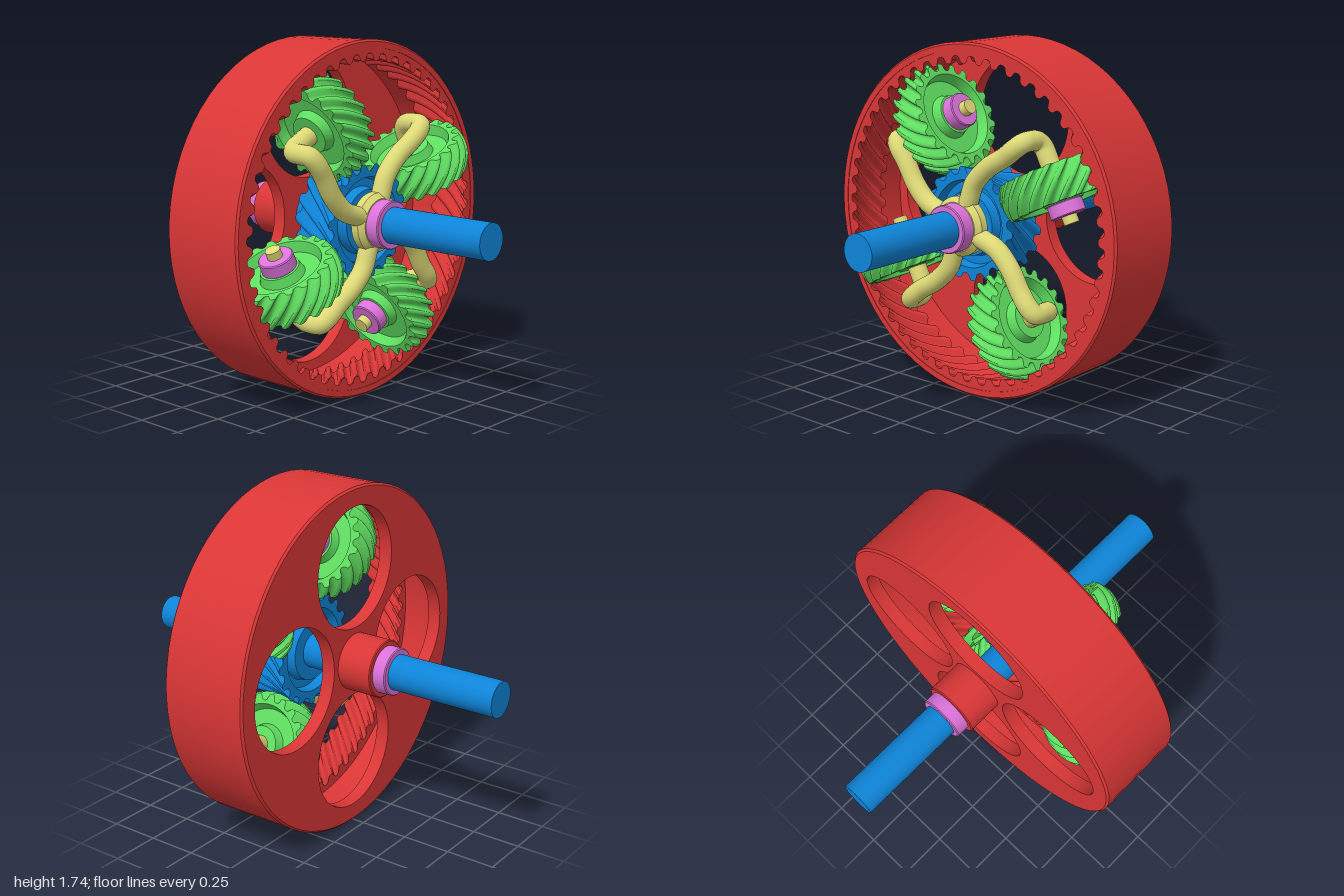
import * as THREE from 'three';
import { toCreasedNormals } from 'three/addons/utils/BufferGeometryUtils.js';

const mat = (name, color) => {
  const m = new THREE.MeshStandardMaterial({ color });
  m.name = name;
  return m;
};

const AXIS_Y = 0.87;      // height of the main shaft
const PLANET_R = 0.525;   // distance of planet centres from the shaft
const PLANET_Z = 0.17;    // plane of the planet centres
const TOOTH = [1, 1, 0.85, 0.15, 0, 0, 0.15, 0.85]; // height over one tooth pitch

// Spins a closed profile of [radius, height, toothDepth] around z, with helical teeth.
// The profile runs up the outside and down the inside.
function spin(profile, teeth = 0, twist = 0) {
  const n = teeth ? teeth * TOOTH.length : 72;
  const rows = profile.length;
  const pos = [], idx = [];
  for (const [r, h, depth = 0] of profile) {
    for (let i = 0; i < n; i++) {
      const a = (i / n) * Math.PI * 2 + twist * (h);
      const rr = r - depth * (1 - TOOTH[i % TOOTH.length]);
      pos.push(rr * Math.cos(a), rr * Math.sin(a), h);
    }
  }
  for (let j = 0; j < rows; j++) {
    const k = (j + 1) % rows;
    for (let i = 0; i < n; i++) {
      const i2 = (i + 1) % n;
      const a = j * n + i, b = j * n + i2, c = k * n + i2, d = k * n + i;
      idx.push(a, b, c, a, c, d);
    }
  }
  const g = new THREE.BufferGeometry();
  g.setAttribute('position', new THREE.Float32BufferAttribute(pos, 3));
  g.setIndex(idx);
  return toCreasedNormals(g, 0.75);
}

// Toothed rows from height h0 to h1, with tip radius given by a rule
function toothRows(h0, h1, steps, tip, depth) {
  return Array.from({ length: steps + 1 }, (_, i) => {
    const h = h0 + ((h1 - h0) * i) / steps;
    return [tip(h), h, depth];
  });
}

// Plain bushing between two heights
const collar = (r0, r1, h0, h1, c = 0.005) => spin([
  [r1 - c, h0], [r1, h0 + c], [r1, h1 - c], [r1 - c, h1], [r0, h1], [r0, h0],
]);

export function createModel() {
  const red = mat('red', 0xda3636);
  const blue = mat('blue', 0x0e84d8);
  const green = mat('green', 0x5fdd60);
  const yellow = mat('yellow', 0xdcd876);
  const violet = mat('violet', 0xdc72da);

  const model = new THREE.Group();
  model.name = 'toroidalPlanetaryGear';
  const gearbox = new THREE.Group();
  gearbox.name = 'gearbox';
  gearbox.position.y = AXIS_Y;
  model.add(gearbox);

  const add = (parent, name, geometry, material) => {
    const m = new THREE.Mesh(geometry, material);
    m.name = name;
    parent.add(m);
    return m;
  };

  // Main shaft with its two collars
  add(gearbox, 'shaft', new THREE.CylinderGeometry(0.088, 0.088, 2, 48).rotateX(Math.PI / 2), blue);
  add(gearbox, 'frontCollar', collar(0.085, 0.117, 0.355, 0.43), violet);
  add(gearbox, 'backCollar', collar(0.085, 0.117, -0.44, -0.365), violet);

  // Ring gear: rim, helical inner teeth, windowed back plate and hub
  add(gearbox, 'ringRim', spin([
    [0.86, -0.19], [0.87, -0.18], [0.87, 0.255], [0.86, 0.265], [0.83, 0.265], [0.83, -0.19],
  ]), red);
  const ringTip = (h) => PLANET_R + Math.sqrt(0.26 ** 2 - (h - PLANET_Z) ** 2);
  add(gearbox, 'ringTeeth', spin([
    [0.84, 0.06], [0.84, 0.262],
    ...toothRows(0.262, 0.06, 8, ringTip, -0.037),
  ], 52, -1.27), red);

  const plate = new THREE.Shape().absarc(0, 0, 0.831, 0, Math.PI * 2);
  for (let k = 0; k < 4; k++) {
    const a = (k * Math.PI) / 2;
    const hole = new THREE.Path();
    hole.absarc(0.475 * Math.cos(a), 0.475 * Math.sin(a), 0.302, 0, Math.PI * 2, true);
    plate.holes.push(hole);
  }
  const plateGeo = new THREE.ExtrudeGeometry(plate, { depth: 0.07, bevelEnabled: false, curveSegments: 56 });
  plateGeo.translate(0, 0, -0.19);
  add(gearbox, 'backPlate', toCreasedNormals(plateGeo, 0.6), red);
  add(gearbox, 'ringHub', collar(0.08, 0.142, -0.372, -0.185), red);

  // Sun gear: hourglass shape with a groove in each face
  const sunTip = (h) => PLANET_R - Math.sqrt(0.267 ** 2 - (h - PLANET_Z) ** 2);
  add(gearbox, 'sunGear', spin([
    ...toothRows(0.06, 0.27, 9, (h) => sunTip(h) + 0.003, 0.035),
    [0.215, 0.27], [0.205, 0.22], [0.165, 0.22], [0.155, 0.27], [0.08, 0.27],
    [0.08, 0.06], [0.155, 0.06], [0.165, 0.11], [0.205, 0.11], [0.215, 0.06],
  ], 18, 3.6), blue);

  // Carrier hub
  add(gearbox, 'carrierHub', collar(0.085, 0.146, 0.268, 0.358, 0.025), yellow);

  // Shared geometries for the four planets; the planet axis lies along local y
  const planetTip = (h) => 0.28 - 0.022 * (h / 0.085) ** 2;
  const planetGeo = spin([
    ...toothRows(-0.085, 0.085, 8, planetTip, 0.035),
    [0.205, 0.085], [0.185, 0.035], [0.11, 0.035], [0.095, 0.08], [0.03, 0.08],
    [0.03, -0.08], [0.095, -0.08], [0.11, -0.035], [0.185, -0.035], [0.205, -0.085],
  ], 20, 3.6).rotateX(-Math.PI / 2);
  const planetCollarGeo = collar(0.03, 0.085, -0.145, -0.078).rotateX(-Math.PI / 2);
  const pinGeo = new THREE.CylinderGeometry(0.037, 0.037, 0.24, 32);
  const armPath = new THREE.CatmullRomCurve3([
    [0.06, 0.055, 0.312], [0.105, 0.1, 0.312], [0.17, 0.158, 0.312], [0.277, 0.195, 0.312],
    [0.4, 0.206, 0.312], [0.475, 0.22, 0.312], [0.518, 0.23, 0.295], [0.525, 0.232, 0.25],
    [0.525, 0.225, 0.2], [0.525, 0.195, 0.174], [0.525, 0.14, 0.17], [0.525, 0.03, 0.17],
  ].map((p) => new THREE.Vector3(...p)));
  const armGeo = new THREE.TubeGeometry(armPath, 80, 0.048, 20, false);

  for (let k = 0; k < 4; k++) {
    const unit = new THREE.Group();
    unit.name = 'planetUnit' + (k + 1);
    unit.rotation.z = THREE.MathUtils.degToRad(26.4) + (k * Math.PI) / 2;
    gearbox.add(unit);
    add(unit, 'carrierArm', armGeo, yellow);

    const planet = new THREE.Group();
    planet.name = 'planet';
    planet.position.set(PLANET_R, 0, PLANET_Z);
    unit.add(planet);
    add(planet, 'planetGear', planetGeo, green);
    add(planet, 'planetCollar', planetCollarGeo, violet);
    add(planet, 'planetPin', pinGeo, yellow).position.y = -0.065;
  }
  return model;
}
